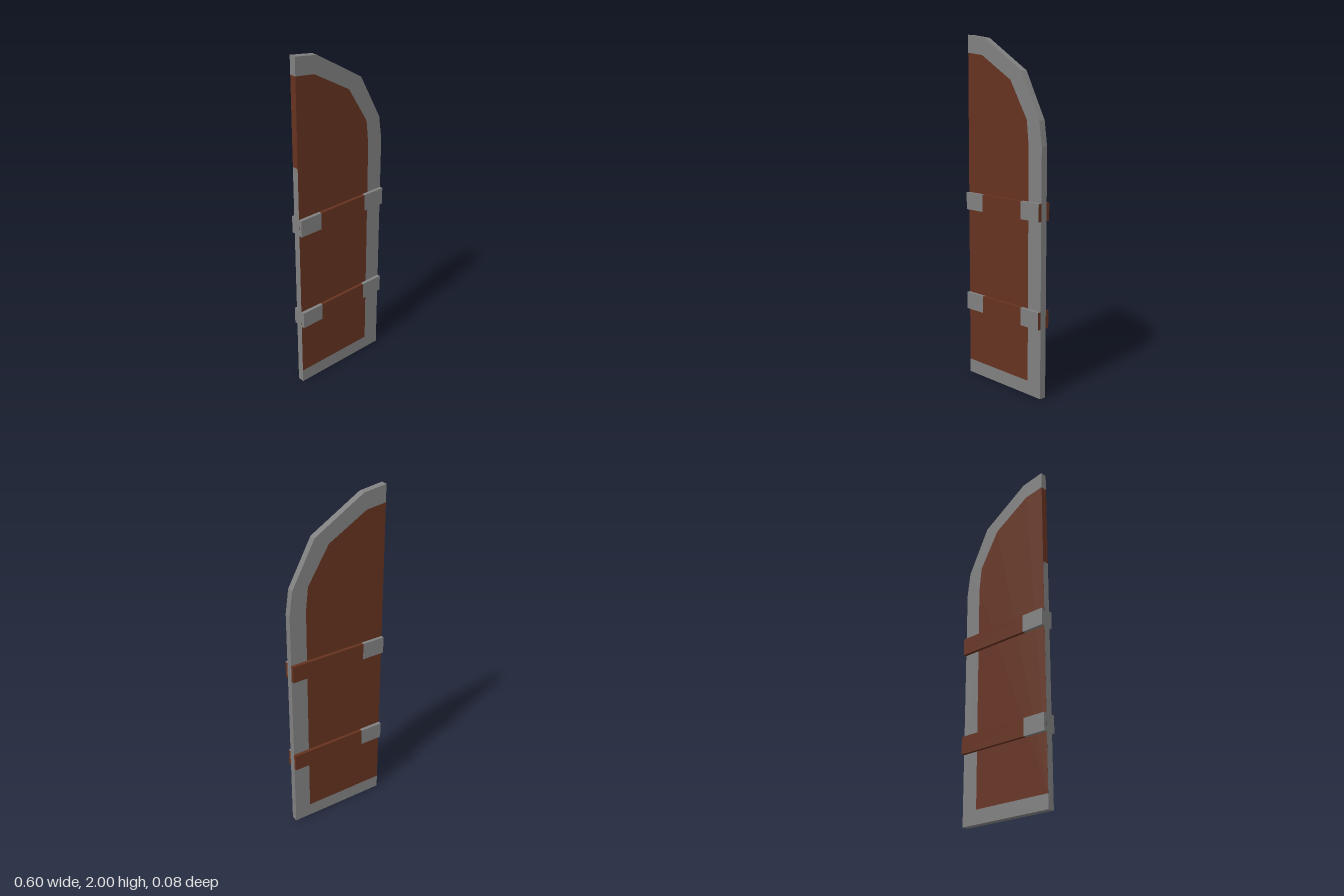
import * as THREE from 'three';

const wood = new THREE.MeshStandardMaterial({ color: 0x653220 });
const metal = new THREE.MeshStandardMaterial({ color: 0x808080 });

const HALF = 0.3;      // half width of the door leaf
const THICK = 0.04;    // leaf thickness
const BAR_H = 0.1, BAR_D = 0.02;

// Outer and inner outlines, from the top of the straight edge round to its foot
const outer = [[-0.3, 2], [-0.16, 1.98], [0.14, 1.8], [0.28, 1.54], [0.3, 1.4], [0.3, 0], [-0.3, 0]];
const inner = [[-0.3, 1.9], [-0.18, 1.885], [0.055, 1.75], [0.185, 1.54], [0.2, 1.4], [0.2, 0.08], [-0.3, 0.08]];

function add(parent, name, geometry, material, x = 0, y = 0, z = 0) {
  const mesh = new THREE.Mesh(geometry, material);
  mesh.name = name;
  mesh.position.set(x, y, z);
  parent.add(mesh);
  return mesh;
}

function slab(points) {
  const shape = new THREE.Shape(points.map(([x, y]) => new THREE.Vector2(x, y)));
  return new THREE.ExtrudeGeometry(shape, { depth: THICK, bevelEnabled: false }).translate(0, 0, -THICK / 2);
}

// A horizontal bar made of [x0, x1, material] lengths
function crossBar(name, y, z, lengths) {
  const bar = new THREE.Group();
  bar.name = name;
  bar.position.set(0, y, z);
  for (const [x0, x1, material] of lengths) {
    add(bar, material === wood ? 'barWood' : 'barStrap',
      new THREE.BoxGeometry(x1 - x0, BAR_H, BAR_D), material, (x0 + x1) / 2);
  }
  return bar;
}

export function createModel() {
  const door = new THREE.Group();
  door.name = 'archedDoorLeaf';

  // Wooden panel with the metal rim flush around it
  add(door, 'panel', slab(inner), wood);
  add(door, 'rim', slab([...outer, ...[...inner].reverse()]), metal);

  // Metal facing on the lower part of the straight edge
  add(door, 'edgeFacing', new THREE.PlaneGeometry(THICK, 1.4), metal, -HALF - 0.0005, 0.7, 0)
    .rotation.y = -Math.PI / 2;

  // Cross bars on both faces
  const offset = THICK / 2 + BAR_D / 2;
  for (const y of [0.45, 1.05]) {
    const front = crossBar('frontBar', y, offset,
      [[-HALF, -0.16, metal], [-0.16, 0.16, wood], [0.16, HALF, metal]]);
    // Wooden end grain on the outer end
    add(front, 'barEnd', new THREE.PlaneGeometry(BAR_D, BAR_H), wood, HALF + 0.0005)
      .rotation.y = Math.PI / 2;
    const back = crossBar('backBar', y, -offset, [[-HALF, -0.16, metal], [-0.16, HALF, wood]]);
    door.add(front, back);
  }
  return door;
}
